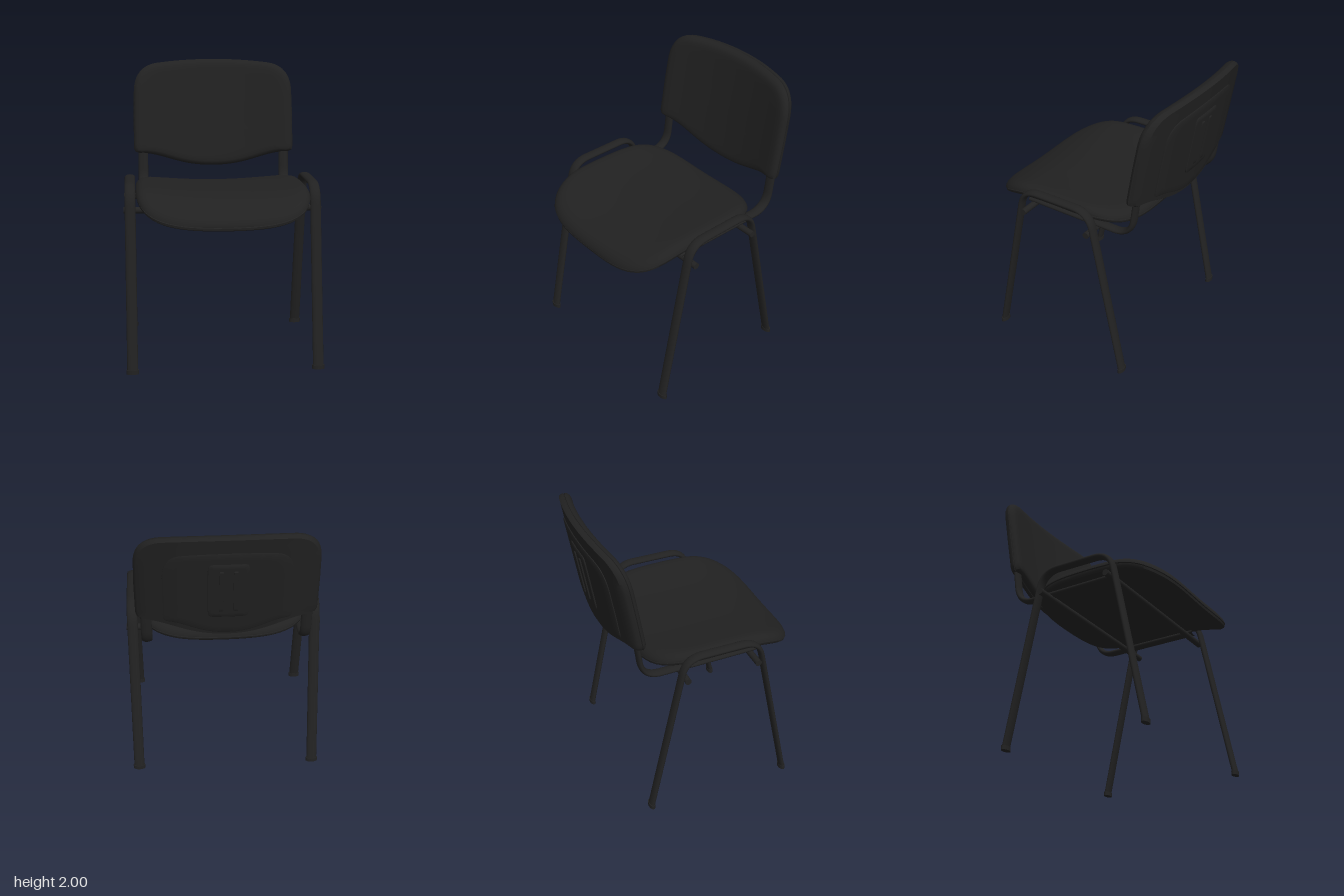
import * as THREE from 'three';
import { toCreasedNormals } from 'three/addons/utils/BufferGeometryUtils.js';

const black = new THREE.MeshStandardMaterial({ color: 0x212121 });
black.name = 'black';

// Closed pad: an outline (counter-clockwise) shrunk by each [scale, depth] of a
// profile that runs from the middle of the front, over the rim, to the middle of the back.
function padGeometry(outline, center, profile, map) {
  const n = outline.length, pos = [], index = [];
  for (const [s, d] of profile) {
    for (const p of outline) {
      pos.push(...map(center.x + (p.x - center.x) * s, center.y + (p.y - center.y) * s, d));
    }
  }
  for (let i = 0; i < profile.length - 1; i++) {
    for (let j = 0; j < n; j++) {
      const k = (j + 1) % n;
      const a = i * n + j, b = a + n, c = i * n + k, e = c + n;
      if (profile[i + 1][0] > 0) index.push(a, b, e);
      if (profile[i][0] > 0) index.push(a, e, c);
    }
  }
  const g = new THREE.BufferGeometry();
  g.setAttribute('position', new THREE.Float32BufferAttribute(pos, 3));
  g.setIndex(index);
  return toCreasedNormals(g, 0.7);
}

// Rounded rectangle outline as a superellipse
function superellipse(cx, cy, w, h, n, count = 96) {
  return Array.from({ length: count }, (_, i) => {
    const a = (i / count) * Math.PI * 2, c = Math.cos(a), s = Math.sin(a);
    const r = (Math.abs(c) ** n + Math.abs(s) ** n) ** (-1 / n);
    return new THREE.Vector2(cx + w * r * c, cy + h * r * s);
  });
}

// Linear interpolation through smooth profile points
const flat = (d) => [0, 0.2, 0.4, 0.6, 0.75, 0.85].map((s) => [s, d]);

// Flattened tube in the y-z plane at a given x; corners are rounded
function ovalTube(points, fillet, x) {
  const v = points.map(([z, y]) => new THREE.Vector3(0, y, z));
  const path = new THREE.CurvePath();
  let last = v[0];
  for (let i = 1; i < v.length - 1; i++) {
    const toward = (q) => v[i].clone().add(q.clone().sub(v[i]).setLength(fillet));
    const start = toward(v[i - 1]), end = toward(v[i + 1]);
    path.add(new THREE.LineCurve3(last, start));
    path.add(new THREE.QuadraticBezierCurve3(start, v[i], end));
    last = end;
  }
  path.add(new THREE.LineCurve3(last, v[v.length - 1]));
  const g = new THREE.TubeGeometry(path, 120, 0.0185, 16);
  g.scale(1.95, 1, 1);
  g.translate(x, 0, 0);
  return g;
}

export function createModel() {
  const chair = new THREE.Group();
  chair.name = 'chair';
  const add = (name, geometry) => {
    const m = new THREE.Mesh(geometry, black);
    m.name = name;
    chair.add(m);
    return m;
  };

  // Seat: dished across, with a waterfall front edge
  const spine = new THREE.SplineCurve([
    [-0.39, 1.135], [-0.2, 1.16], [0, 1.168], [0.2, 1.17], [0.38, 1.162],
    [0.5, 1.135], [0.6, 1.098], [0.71, 1.055],
  ].map(([z, y]) => new THREE.Vector2(z, y))).getPoints(80);
  const seatTop = (z) => {
    const i = Math.max(1, spine.findIndex((p) => p.x >= z));
    const a = spine[i - 1], b = spine[i];
    return a.y + (b.y - a.y) * (z - a.x) / (b.x - a.x);
  };
  const seatProfile = [
    ...flat(0), [0.91, 0.03], [0.95, 0.12], [0.98, 0.3], [0.995, 0.48], [1, 0.62],
    [0.985, 0.65], [0.985, 0.69], [0.995, 0.71], [0.99, 0.9], [0.975, 1],
    ...flat(1).reverse(),
  ];
  add('seat', padGeometry(
    superellipse(0, -0.157, 0.585, 0.543, 4), new THREE.Vector2(0, -0.157), seatProfile,
    (x, v, d) => [x, seatTop(-v) + 0.045 * (x / 0.585) ** 2 - 0.085 * d, -v],
  ));

  // Backrest: leaning and curved around the sitter
  const backMap = (x, y, d) =>
    [x, y, -0.475 - 0.17 * (y - 1.22) + 0.085 * (x / 0.59) ** 2 - 0.085 * d];
  const backShape = new THREE.Shape();
  backShape.moveTo(0.59, 1.6);
  backShape.lineTo(0.585, 1.78);
  backShape.quadraticCurveTo(0.575, 1.95, 0.42, 1.975);
  backShape.quadraticCurveTo(0.22, 2, 0, 2);
  backShape.quadraticCurveTo(-0.22, 2, -0.42, 1.975);
  backShape.quadraticCurveTo(-0.575, 1.95, -0.585, 1.78);
  backShape.lineTo(-0.59, 1.6);
  backShape.lineTo(-0.59, 1.36);
  backShape.quadraticCurveTo(-0.59, 1.328, -0.55, 1.325);
  backShape.bezierCurveTo(-0.36, 1.315, -0.27, 1.22, 0, 1.22);
  backShape.bezierCurveTo(0.27, 1.22, 0.36, 1.315, 0.55, 1.325);
  backShape.quadraticCurveTo(0.59, 1.328, 0.59, 1.36);
  backShape.lineTo(0.59, 1.6);
  const backOutline = backShape.getSpacedPoints(120).slice(0, -1);
  const backProfile = [
    ...flat(0), [0.92, 0.03], [0.96, 0.12], [0.985, 0.28], [1, 0.5],
    [0.987, 0.53], [0.987, 0.58], [1, 0.61], [0.99, 0.85], [0.97, 1],
    ...flat(1).reverse(),
  ];
  add('backrest', padGeometry(backOutline, new THREE.Vector2(0, 1.62), backProfile, backMap));

  // Raised panel, plate and ribs on the rear shell
  const rearPad = (name, outline, cx, cy, height) => add(name, padGeometry(
    outline, new THREE.Vector2(cx, cy),
    [...flat(0.8), [1, 0.8], [1, height - 0.04], [0.975, height], ...flat(height).reverse()],
    backMap,
  ));
  rearPad('rearPanel', backOutline.map((p) => new THREE.Vector2(p.x * 0.7, 1.25 + (p.y - 1.22) * 0.82)), 0, 1.57, 1.1);
  rearPad('rearPlate', superellipse(0, 1.6, 0.13, 0.21, 12), 0, 1.6, 1.2);
  for (const side of [-1, 1]) {
    rearPad('rearRib', superellipse(side * 0.045, 1.6, 0.015, 0.16, 10, 64), side * 0.045, 1.6, 1.3);
  }

  for (const side of [-1, 1]) {
    // Leg loop: two splayed legs joined over the top
    const x = side * 0.622;
    add('legFrame', ovalTube([[0.592, 0.005], [0.343, 1.211], [-0.182, 1.211], [-0.437, 0.005]], 0.12, x));

    // Feet
    for (const [z, lean] of [[0.588, -0.2], [-0.434, 0.2]]) {
      const foot = add('foot', new THREE.CylinderGeometry(0.022, 0.022, 0.028, 20));
      foot.scale.x = 1.9;
      foot.position.set(x, 0.014, z);
    }

    // Rail under the seat bending up into the backrest
    add('backSupport', ovalTube([[0.36, 1.09], [-0.445, 1.078], [-0.49, 1.42]], 0.13, side * 0.523));
  }

  // Cross bars between the leg frames
  for (const z of [0.33, -0.18]) {
    const bar = add('crossBar', new THREE.CylinderGeometry(0.022, 0.022, 1.33, 20));
    bar.rotation.z = Math.PI / 2;
    bar.position.set(0, 1.055, z);
  }
  return chair;
}
